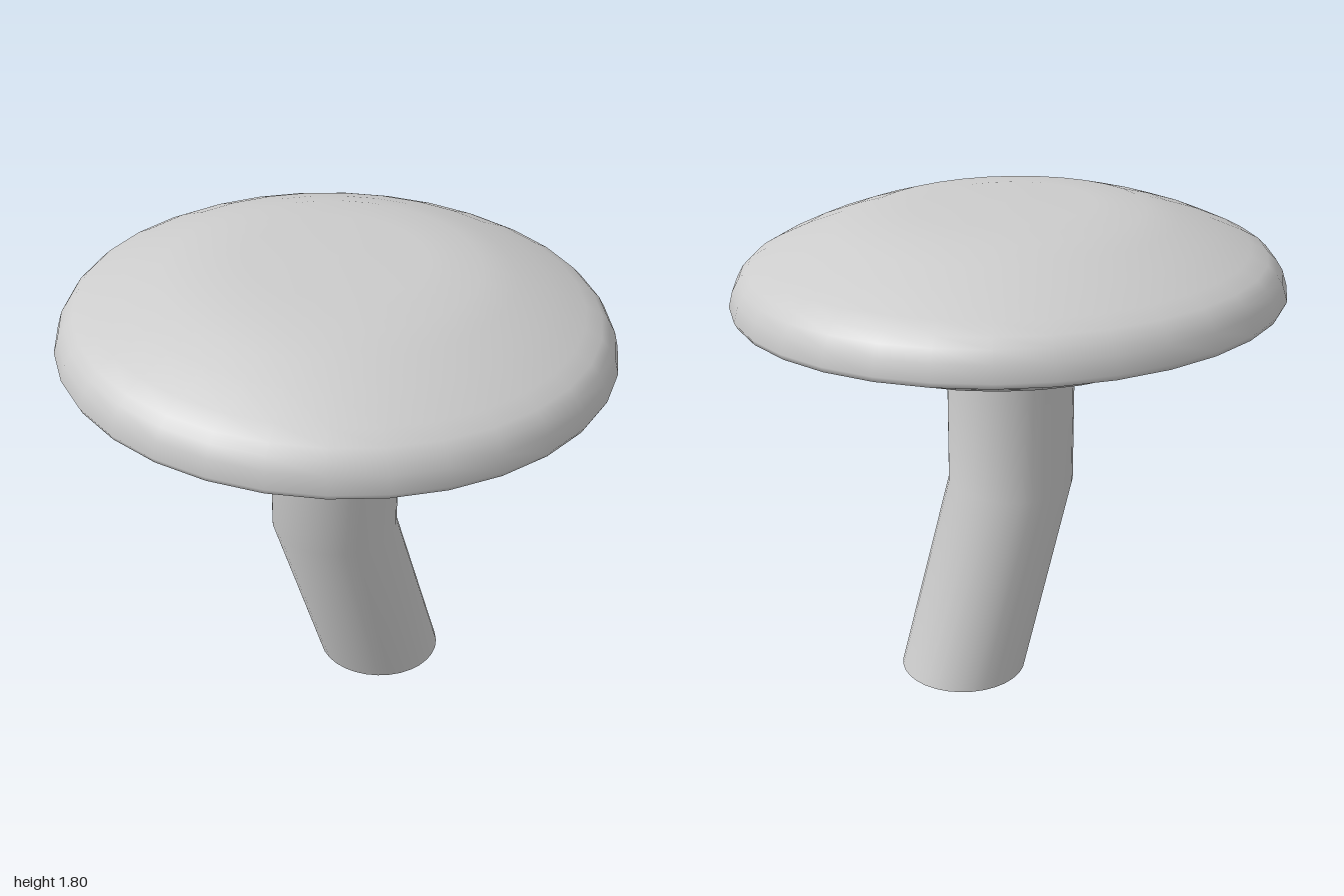
import * as THREE from 'three';
import { toCreasedNormals } from 'three/addons/utils/BufferGeometryUtils.js';

const TILT = -0.036;   // cap leans down towards +x
const RIM_Y = 1.47;    // height of the cap's rim
const BEND_Y = 0.71;   // height of the bend in the stem
const STEM_TOP = 1.36;

export function createModel() {
  const model = new THREE.Group();
  const material = new THREE.MeshStandardMaterial({ color: 0xcccccc });

  // Cap: one closed profile [radius, height], from the underside to the crown
  const profile = [
    [0, 1.322], [0.3, 1.323], [0.52, 1.328], [0.69, 1.338], [0.75, 1.37],
    [0.82, 1.415], [0.86, 1.433], [0.96, 1.449], [0.99, 1.458], [1.0, 1.478],
    [0.984, 1.535], [0.96, 1.575], [0.93, 1.605], [0.87, 1.638],
    [0.75, 1.692], [0.62, 1.738], [0.5, 1.773], [0.32, 1.793], [0, 1.796],
  ].map(([r, y]) => new THREE.Vector2(r, y - RIM_Y));
  const cap = new THREE.Mesh(new THREE.LatheGeometry(profile, 32), material);
  cap.name = 'cap';
  cap.position.y = RIM_Y;
  cap.rotation.z = TILT;
  model.add(cap);

  // Stem: upright at the top, slanted towards the back below the bend
  const stemGeometry = new THREE.CylinderGeometry(0.237, 0.237, STEM_TOP, 32, 2);
  const p = stemGeometry.attributes.position;
  for (let i = 0; i < p.count; i++) {
    const level = Math.round((p.getY(i) / STEM_TOP + 0.5) * 2); // 0 foot, 1 bend, 2 top
    p.setY(i, [0, BEND_Y, STEM_TOP][level]);
    if (level === 0) p.setZ(i, p.getZ(i) - 0.247);
  }
  const stem = new THREE.Mesh(toCreasedNormals(stemGeometry, 0.8), material);
  stem.name = 'stem';
  stem.position.set(0.018, 0, 0.03);
  model.add(stem);

  return model;
}
